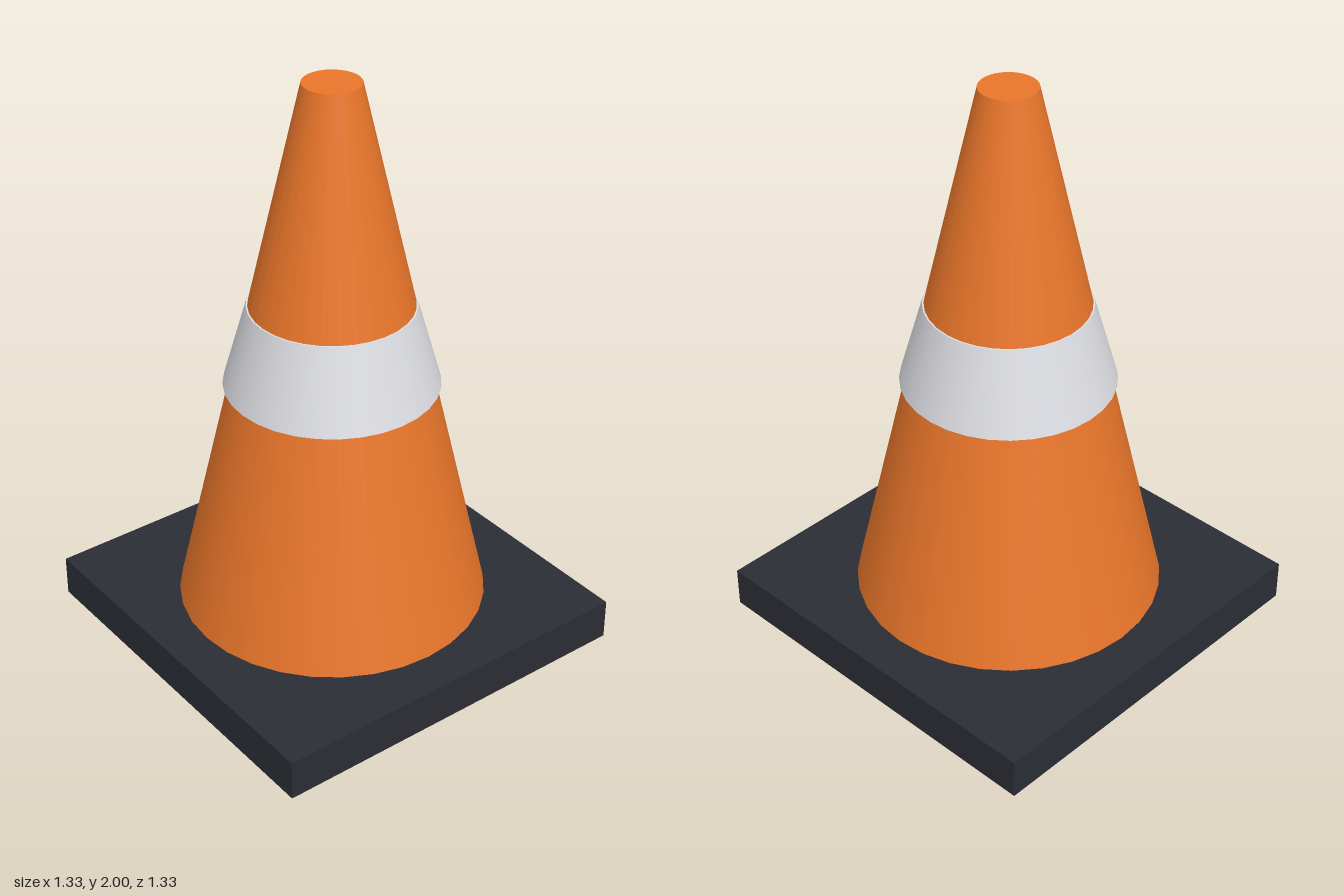
import * as THREE from 'three';

const SIDES = 32;

export function createModel() {
  const group = new THREE.Group();

  // Adds a named part whose underside sits at height y
  const addPart = (name, geometry, height, y, color) => {
    const mesh = new THREE.Mesh(geometry, new THREE.MeshStandardMaterial({ color }));
    mesh.name = name;
    mesh.position.y = y + height / 2;
    group.add(mesh);
  };
  const taper = (top, bottom, height) => new THREE.CylinderGeometry(top, bottom, height, SIDES);

  // Square foot slab
  addPart('base', new THREE.BoxGeometry(1.333, 0.143, 1.333), 0.143, 0, 0x2a2d34);

  // Tapered body with a flat closed tip
  addPart('coneBody', taper(0.095, 0.524, 1.857), 1.857, 0.143, 0xe8752a);

  // Reflective collar, flaring slightly away from the body at its lower edge
  addPart('reflectiveBand', taper(0.276, 0.357, 0.286), 0.286, 0.954, 0xdcdde2);

  return group;
}
